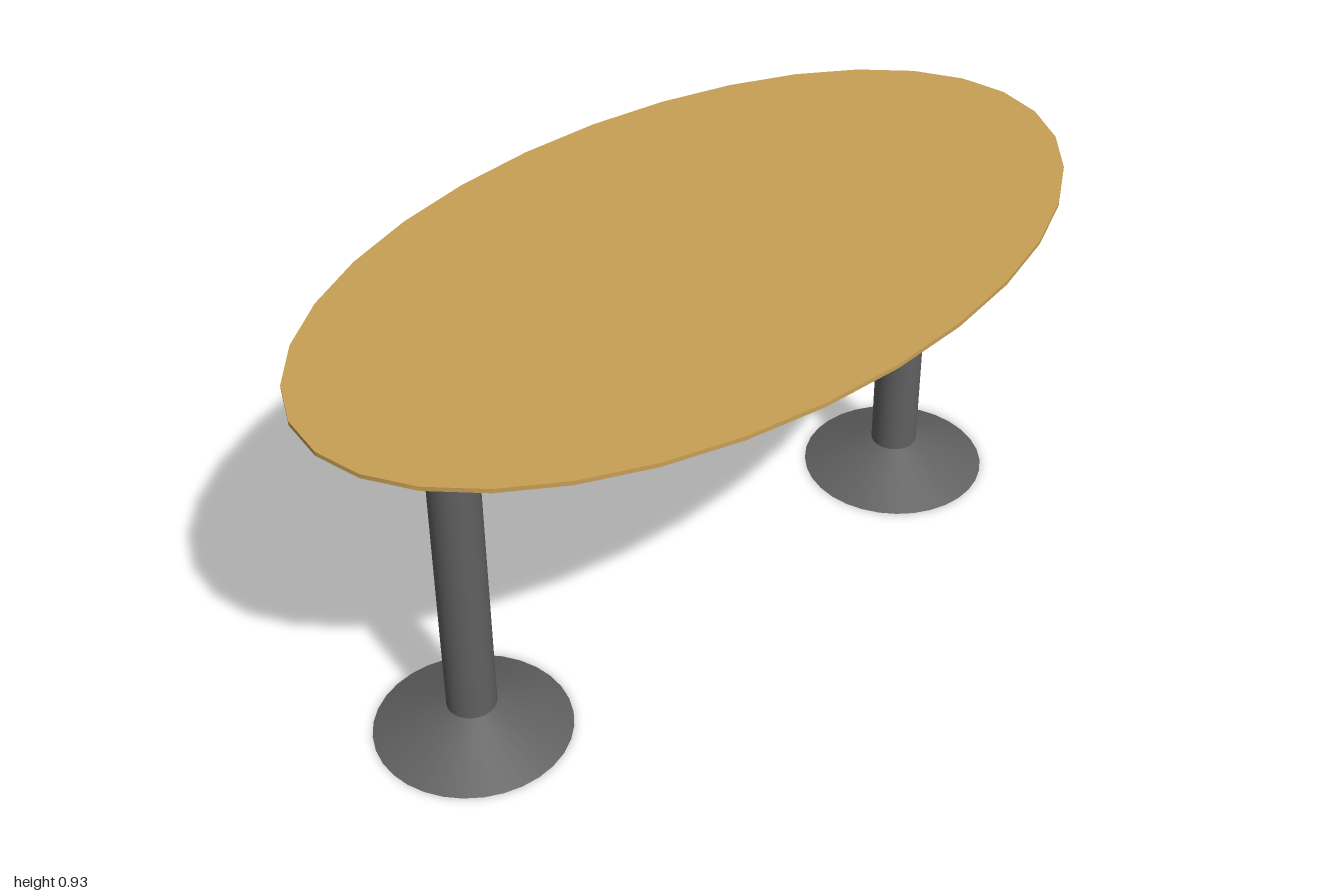
import * as THREE from 'three';

export function createModel() {
  const model = new THREE.Group();
  const wood = new THREE.MeshStandardMaterial({ color: 0xc8a055 });
  const metal = new THREE.MeshStandardMaterial({ color: 0x606060 });

  const topY = 0.931, thickness = 0.01;
  const baseHeight = 0.073, baseRadius = 0.222, postRadius = 0.056;

  function add(parent, name, geometry, material, y) {
    const mesh = new THREE.Mesh(geometry, material);
    mesh.name = name;
    mesh.position.y = y;
    parent.add(mesh);
    return mesh;
  }

  // Thin elliptical top
  const topGeometry = new THREE.CylinderGeometry(1, 1, thickness, 32);
  topGeometry.scale(0.57, 1, 1);
  topGeometry.computeVertexNormals();
  add(model, 'tableTop', topGeometry, wood, topY - thickness / 2);

  // Two pedestals: a round post rising from a flared conical foot
  const postHeight = topY - thickness - baseHeight;
  const postGeometry = new THREE.CylinderGeometry(postRadius, postRadius, postHeight, 32);
  const baseGeometry = new THREE.CylinderGeometry(postRadius, baseRadius, baseHeight, 32);
  for (const [name, z] of [['frontPedestal', 0.69], ['backPedestal', -0.68]]) {
    const pedestal = new THREE.Group();
    pedestal.name = name;
    pedestal.position.z = z;
    add(pedestal, 'post', postGeometry, metal, baseHeight + postHeight / 2);
    add(pedestal, 'base', baseGeometry, metal, baseHeight / 2);
    model.add(pedestal);
  }

  return model;
}
